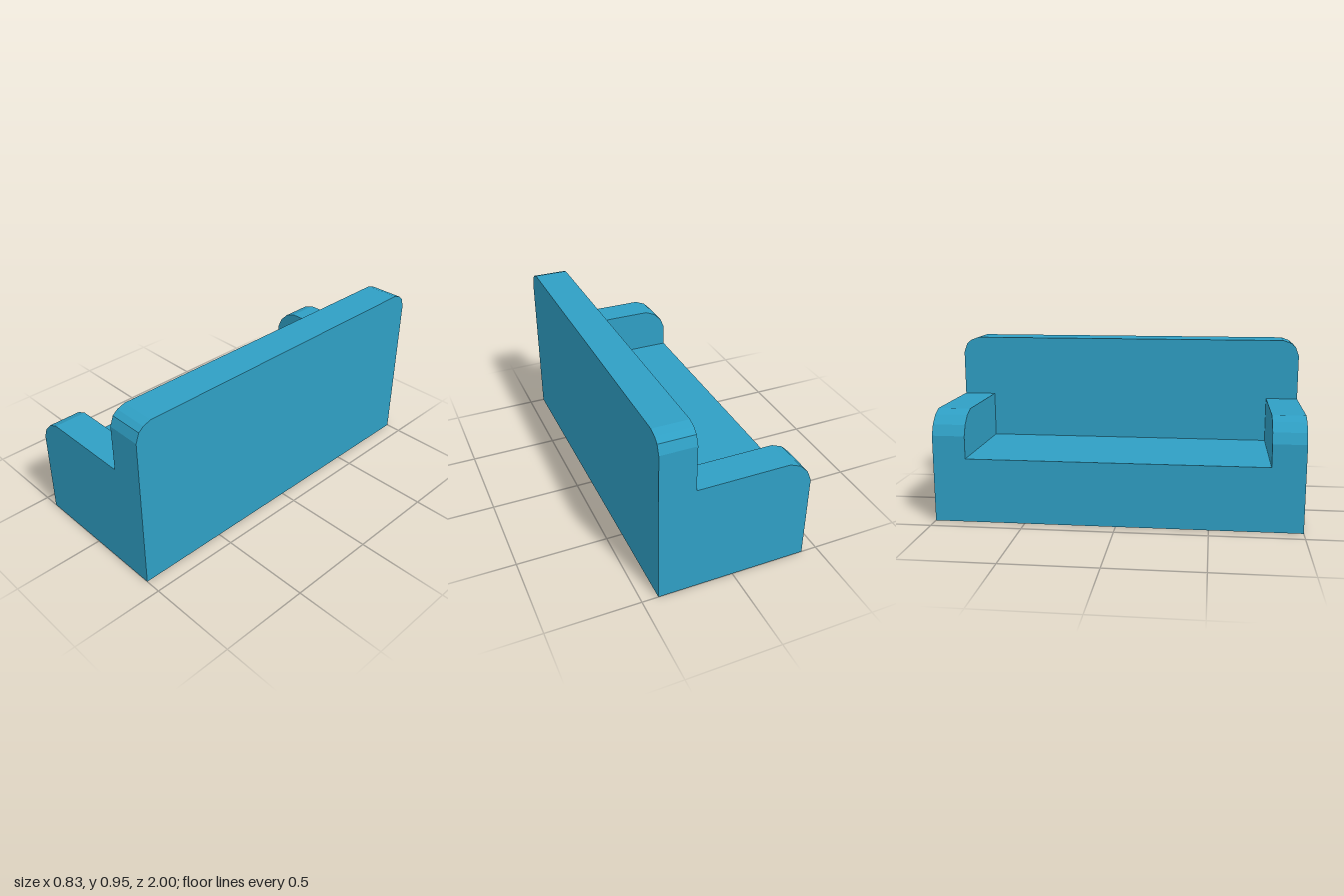
import * as THREE from 'three';

const FRONT = -0.413, BACK = 0.412, BACKREST = 0.22; // seat faces -x
const ARM_INNER = 0.82, SEAT_HEIGHT = 0.355;

// Extrude a closed outline along z, starting at z = 0
function slab(points, depth) {
  const shape = new THREE.Shape(points.map(([x, y]) => new THREE.Vector2(x, y)));
  return new THREE.ExtrudeGeometry(shape, { depth, bevelEnabled: false });
}

export function createModel() {
  const sofa = new THREE.Group();
  sofa.name = 'sofa';
  const blue = new THREE.MeshStandardMaterial({ color: 0x2f9fc4 });
  blue.name = 'blue upholstery';
  blue.flatShading = true;

  const add = (geometry, name) => {
    const mesh = new THREE.Mesh(geometry, blue);
    mesh.name = name;
    sofa.add(mesh);
    return mesh;
  };

  // Backrest: full-width panel with faceted top corners
  const corner = [[1, 0.862], [0.981, 0.914], [0.953, 0.937], [0.91, 0.952]];
  const mirrored = corner.map(([z, y]) => [-z, y]).reverse();
  const backrest = slab([[-1, 0], [1, 0], ...corner, ...mirrored], BACK - BACKREST);
  backrest.rotateY(Math.PI / 2);
  add(backrest, 'backrest').position.x = BACKREST;

  // Armrests: side panels with a faceted front edge
  const armOutline = [
    [FRONT, 0], [BACKREST, 0], [BACKREST, 0.609],
    [-0.284, 0.609], [-0.343, 0.585], [-0.389, 0.538], [FRONT, 0.48],
  ];
  for (const [name, z] of [['leftArmrest', -1], ['rightArmrest', ARM_INNER]]) {
    add(slab(armOutline, 1 - ARM_INNER), name).position.z = z;
  }

  // Seat block between the armrests
  const seat = new THREE.BoxGeometry(BACKREST - FRONT, SEAT_HEIGHT, 2 * ARM_INNER);
  add(seat, 'seat').position.set((FRONT + BACKREST) / 2, SEAT_HEIGHT / 2, 0);

  return sofa;
}
